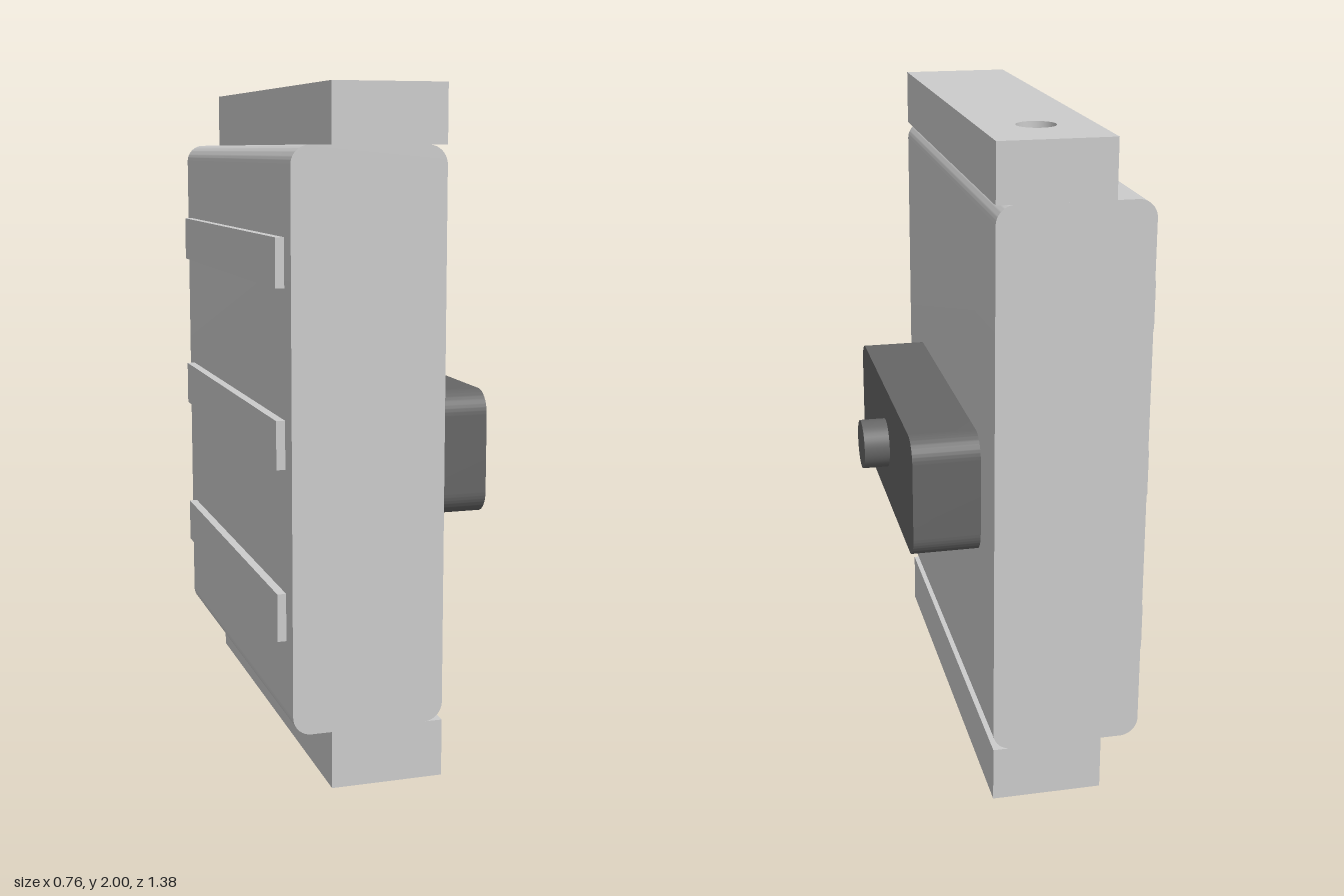
import * as THREE from 'three';
import { toCreasedNormals } from 'three/addons/utils/BufferGeometryUtils.js';

const grey = new THREE.MeshStandardMaterial({ color: 0xcccccc });
const dark = new THREE.MeshStandardMaterial({ color: 0x666666 });

// Rounded rectangle centred on the origin
function roundedRect(w, h, r) {
  const s = new THREE.Shape();
  const x = w / 2 - r, y = h / 2 - r, q = Math.PI / 2;
  s.absarc(x, y, r, 0, q);
  s.absarc(-x, y, r, q, 2 * q);
  s.absarc(-x, -y, r, 2 * q, 3 * q);
  s.absarc(x, -y, r, 3 * q, 4 * q);
  s.closePath();
  return s;
}

// Extrusion centred along its depth, smooth on curves and sharp on edges
function extrude(shape, depth) {
  const geo = new THREE.ExtrudeGeometry(shape, { depth, bevelEnabled: false, curveSegments: 16 });
  geo.translate(0, 0, -depth / 2);
  return toCreasedNormals(geo, 0.5);
}

export function createModel() {
  const model = new THREE.Group();
  model.name = 'mountedUnit';

  function add(name, geo, material, x, y, z) {
    const mesh = new THREE.Mesh(geo, material);
    mesh.name = name;
    mesh.position.set(x, y, z);
    model.add(mesh);
  }

  // Main slab with rounded long edges
  add('body', extrude(roundedRect(0.45, 1.66, 0.055), 1.38), grey, -0.13, 1, 0);

  // End rails, each with a round socket that stops at the slab
  const rail = new THREE.Shape();
  rail.moveTo(-0.24, -0.69);
  rail.lineTo(0.095, -0.69);
  rail.lineTo(0.095, 0.69);
  rail.lineTo(-0.24, 0.69);
  rail.closePath();
  const socket = new THREE.Path();
  socket.absarc(-0.072, 0.455, 0.058, 0, Math.PI * 2, true);
  rail.holes.push(socket);
  const railGeo = extrude(rail, 0.17).rotateX(-Math.PI / 2);
  add('topRail', railGeo, grey, 0, 1.915, 0);
  add('bottomRail', railGeo, grey, 0, 0.085, 0);

  // Raised strips on the outer face
  for (const y of [0.5, 1, 1.51]) {
    add('strip', new THREE.BoxGeometry(0.027, 0.14, 1.24), grey, -0.3675, y, 0);
  }

  // Dark handle block with its round button
  const handleGeo = extrude(roundedRect(1.015, 0.376, 0.07), 0.203).rotateY(Math.PI / 2);
  add('handle', handleGeo, dark, 0.1965, 0.918, 0);
  const buttonGeo = new THREE.CylinderGeometry(0.078, 0.078, 0.08, 40).rotateZ(-Math.PI / 2);
  add('button', buttonGeo, dark, 0.338, 0.918, 0);

  return model;
}
